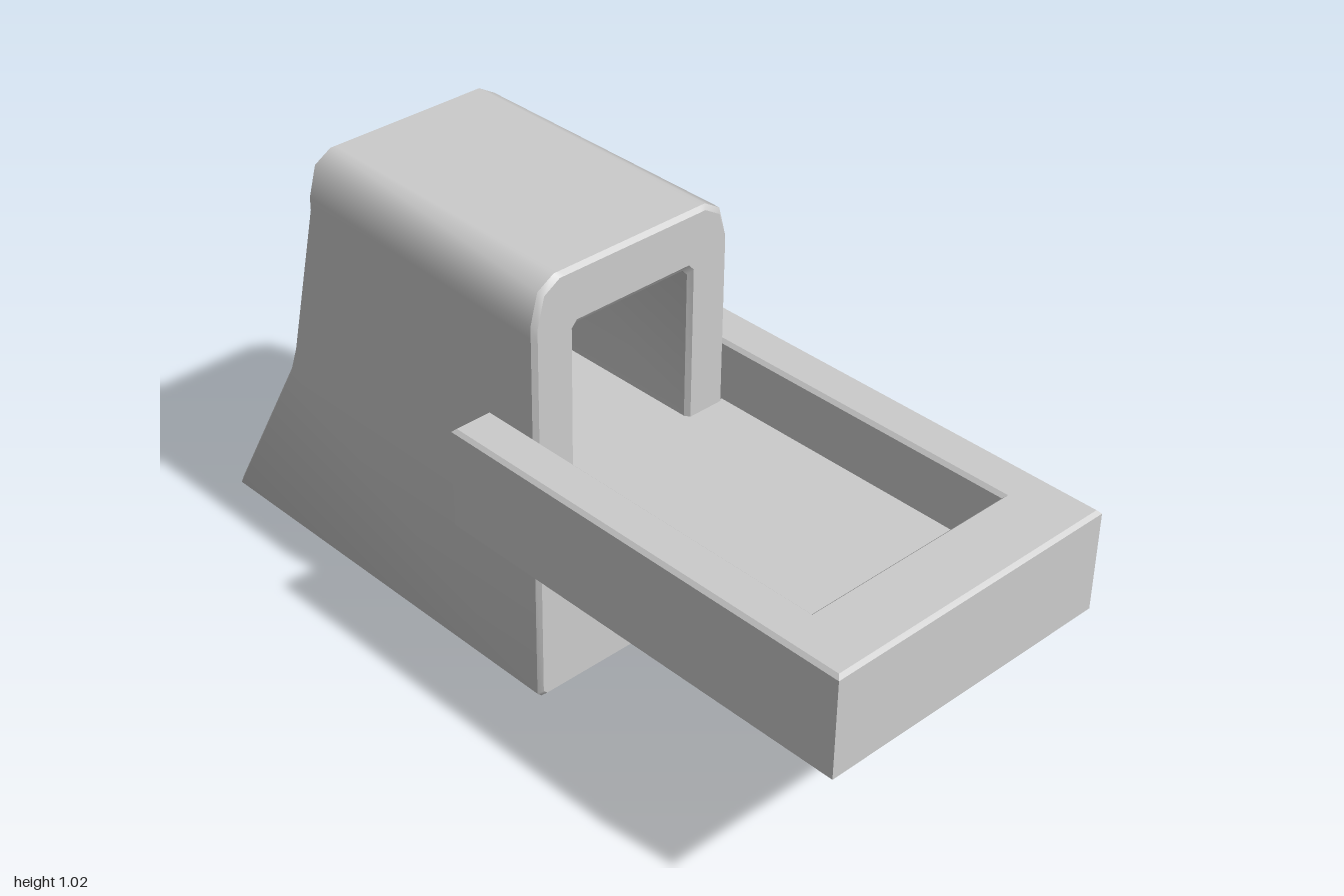
import * as THREE from 'three';
import { toCreasedNormals, mergeGeometries } from 'three/addons/utils/BufferGeometryUtils.js';

const FRONT = 0.085, FLOOR = 0.53, CAVITY_BACK = -0.5, BEVEL = 0.01;

// Quads between two matching rows of points
function strip(a, b, closed = true) {
  const pos = [], n = a.length;
  for (let i = 0; i < (closed ? n : n - 1); i++) {
    const j = (i + 1) % n;
    for (const p of [a[i], b[i], a[j], b[i], b[j], a[j]]) pos.push(...p);
  }
  const geo = new THREE.BufferGeometry();
  geo.setAttribute('position', new THREE.Float32BufferAttribute(pos, 3));
  return toCreasedNormals(geo, 0.9);
}

// Right half of an outline, bottom to top, completed by its mirror image
const mirrored = (half) => [...half, ...half.map(([x, y]) => [-x, y]).reverse()];

const toShape = (pts) => new THREE.Shape(pts.map(([x, y]) => new THREE.Vector2(x, y)));

// Sloping back: depth at a given height
const BACK = [[0.01, -1], [0.44, -0.755], [0.51, -0.73], [0.9, -0.635], [1.1, -0.635]];
function backZ(y) {
  if (y <= BACK[0][0]) return BACK[0][1];
  const i = BACK.findIndex((p) => p[0] >= y);
  const [y0, z0] = BACK[i - 1], [y1, z1] = BACK[i];
  return z0 + (z1 - z0) * (y - y0) / (y1 - y0);
}

export function createModel() {
  const model = new THREE.Group();
  const material = new THREE.MeshStandardMaterial({ color: 0xcccccc });
  const add = (name, geo, parent) => {
    const mesh = new THREE.Mesh(geo, material);
    mesh.name = name;
    parent.add(mesh);
    return mesh;
  };

  // Body: arched outline running back to the sloping rear
  const body = new THREE.Group();
  body.name = 'body';
  model.add(body);
  const half = [[0.255, 0], [0.265, 0.01], [0.265, 0.44], [0.265, 0.51], [0.265, 0.9],
    [0.265, 0.93], [0.246, 1.0], [0.204, 1.025], [0.19, 1.025]];
  const outline = mirrored(half);
  const inset = ([x, y]) => [x * 0.965, 0.51 + (y - 0.51) * 0.983];
  const frontEdge = outline.map((p) => [...inset(p), FRONT]);
  const frontRing = outline.map(([x, y]) => [x, y, FRONT - BEVEL]);
  const backRing = outline.map(([x, y]) => [x, y, backZ(y) + BEVEL]);
  const backEdge = outline.map((p) => [...inset(p), backZ(inset(p)[1])]);
  const backRight = backEdge.slice(0, half.length - 1);
  const backLeft = backRight.map(([x, y, z]) => [-x, y, z]);
  add('bodyShell', mergeGeometries([
    strip(frontEdge, frontRing),
    strip(frontRing, backRing),
    strip(backRing, backEdge),
    strip(backRight, backLeft, false),
  ]), body);

  // Front face with the opening cut through
  const mouth = mirrored([[0.167, FLOOR], [0.167, 0.89], [0.153, 0.905]]);
  const face = toShape(frontEdge);
  face.holes.push(toShape(mouth));
  add('frontFace', new THREE.ShapeGeometry(face).translate(0, 0, FRONT), body);

  // Hollow behind the opening: bevelled lip, inward walls and rear wall
  const inner = mouth.map(([x, y]) => [x * 0.955, FLOOR + (y - FLOOR) * 0.96]);
  const at = (pts, z) => pts.map(([x, y]) => [x, y, z]).reverse();
  add('hollowWalls', mergeGeometries([
    strip(at(mouth, FRONT), at(inner, FRONT - 0.012)),
    strip(at(inner, FRONT - 0.012), at(inner, CAVITY_BACK)),
  ]), body);
  add('hollowBack', new THREE.ShapeGeometry(toShape(inner)).translate(0, 0, CAVITY_BACK), body);

  // Tray: U-shaped rim hugging the body, plus a raised floor
  const tray = new THREE.Group();
  tray.name = 'tray';
  model.add(tray);
  const b = 0.008;
  const rim = toShape([[-0.367, -0.055], [-0.265, -0.055], [-0.265, 0.838], [0.265, 0.838],
    [0.265, -0.055], [0.367, -0.055], [0.367, 1], [-0.367, 1]]);
  const rimGeo = new THREE.ExtrudeGeometry(rim, {
    depth: 0.245 - 2 * b, bevelEnabled: true, bevelSize: b, bevelThickness: b,
    bevelOffset: -b, bevelSegments: 1,
  });
  rimGeo.rotateX(Math.PI / 2).translate(0, 0.675 - b, 0);
  add('trayRim', rimGeo, tray);

  const floorGeo = new THREE.BoxGeometry(0.57, FLOOR - 0.431, 0.78);
  floorGeo.translate(0, (FLOOR + 0.431) / 2, 0.08 + 0.39);
  add('trayFloor', floorGeo, tray);

  return model;
}
